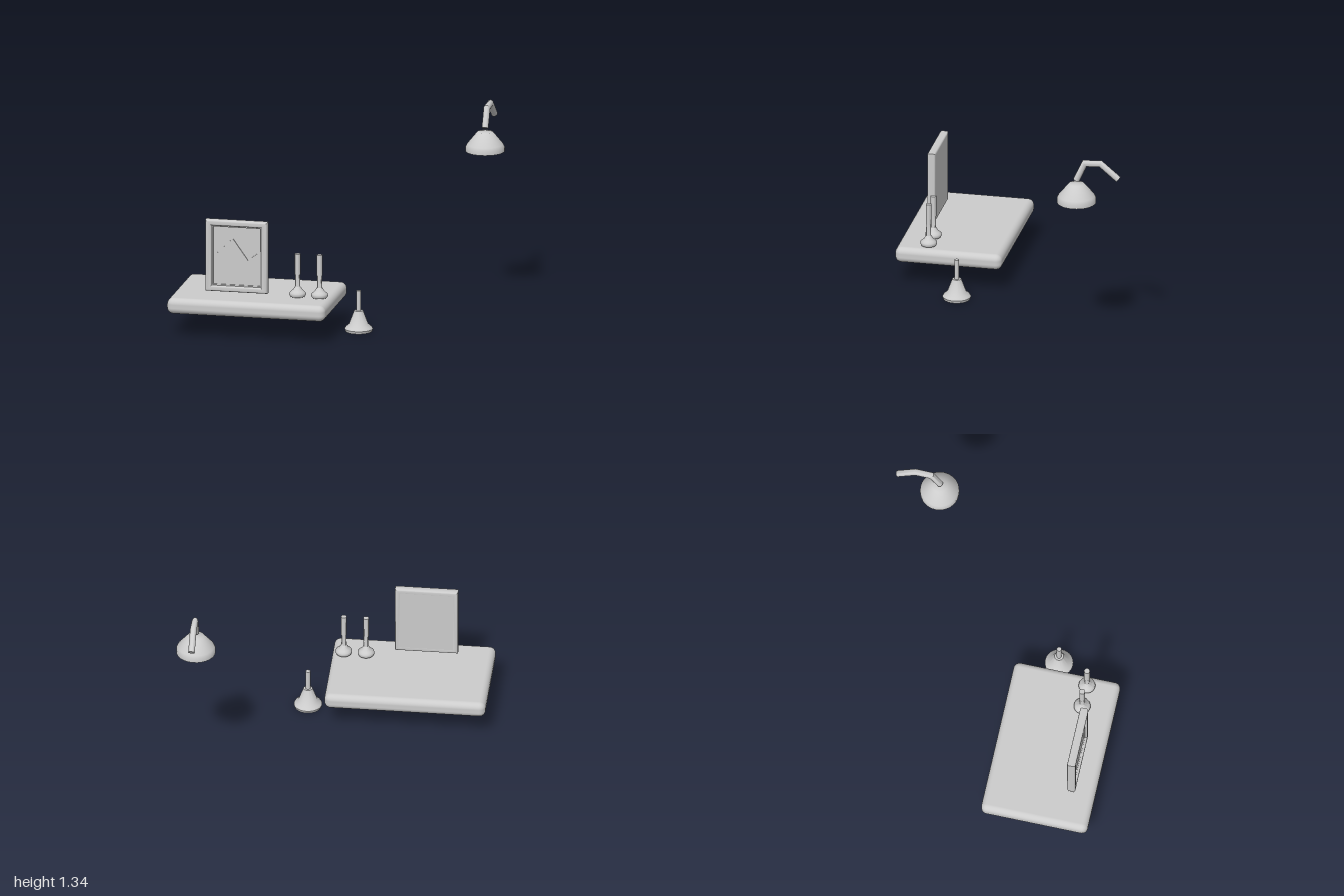
import * as THREE from 'three';
import { RoundedBoxGeometry } from 'three/addons/geometries/RoundedBoxGeometry.js';
import { toCreasedNormals } from 'three/addons/utils/BufferGeometryUtils.js';

const grey = new THREE.MeshStandardMaterial({ color: 0xcccccc });
grey.name = 'light grey';

function add(parent, name, geometry, x = 0, y = 0, z = 0) {
  const mesh = new THREE.Mesh(geometry, grey);
  mesh.name = name;
  mesh.position.set(x, y, z);
  parent.add(mesh);
  return mesh;
}

// turned part from [radius, height] pairs, bottom to top
function turned(points, crease = 0.7) {
  const profile = points.map(([r, y]) => new THREE.Vector2(r, y));
  return toCreasedNormals(new THREE.LatheGeometry(profile, 32), crease);
}

// capped round rod with mitred bends, running through [y, z] points
function bentRod(path, radius, sides = 20) {
  const pts = path.map(([y, z]) => new THREE.Vector2(z, y));
  const last = pts.length - 1;
  const pos = [], index = [];
  pts.forEach((p, i) => {
    const before = p.clone().sub(pts[Math.max(i - 1, 0)]).normalize();
    const after = pts[Math.min(i + 1, last)].clone().sub(p).normalize();
    const dir = before.clone().add(after).normalize();
    const stretch = 1 / dir.dot(i < last ? after : before);
    for (let s = 0; s < sides; s++) {
      const a = (s / sides) * Math.PI * 2;
      const off = Math.sin(a) * radius * stretch;
      pos.push(Math.cos(a) * radius, p.y + dir.x * off, p.x - dir.y * off);
      if (i < last) {
        const q = i * sides + s, n = i * sides + ((s + 1) % sides);
        index.push(q, n, q + sides, n, n + sides, q + sides);
      }
    }
  });
  // end caps
  for (let s = 1; s < sides - 1; s++) {
    const e = last * sides;
    index.push(0, s + 1, s, e, e + s, e + s + 1);
  }
  const g = new THREE.BufferGeometry();
  g.setAttribute('position', new THREE.Float32BufferAttribute(pos, 3));
  g.setIndex(index);
  return toCreasedNormals(g, 0.9);
}

function rectangle(Type, w, h) {
  return new Type([[-w, -h], [w, -h], [w, h], [-w, h]].map(([x, y]) => new THREE.Vector2(x / 2, y / 2)));
}

function createPicture() {
  const picture = new THREE.Group();
  picture.name = 'framedPicture';

  // rounded moulding
  const bevel = 0.013;
  const outline = rectangle(THREE.Shape, 0.422 - 2 * bevel, 0.49 - 2 * bevel);
  outline.holes.push(rectangle(THREE.Path, 0.336 + 2 * bevel, 0.412 + 2 * bevel));
  const moulding = new THREE.ExtrudeGeometry(outline, {
    depth: 0.056 - 2 * bevel, bevelEnabled: true, bevelSize: bevel, bevelThickness: bevel, bevelSegments: 4,
  });
  moulding.translate(0, 0, -0.028 + bevel);
  add(picture, 'frame', toCreasedNormals(moulding, 0.6));

  // inner lip, backing and mountain relief
  const lip = rectangle(THREE.Shape, 0.35, 0.425);
  lip.holes.push(rectangle(THREE.Path, 0.32, 0.395));
  add(picture, 'innerLip', new THREE.ExtrudeGeometry(lip, { depth: 0.024, bevelEnabled: false }), 0, 0, -0.012);
  add(picture, 'backing', new RoundedBoxGeometry(0.4, 0.47, 0.026, 2, 0.006), 0, 0, -0.0145);
  const mountain = new THREE.Shape([
    [-0.165, -0.203], [0.165, -0.203], [0.165, 0.042], [0.075, -0.025], [-0.028, 0.12], [-0.165, -0.015],
  ].map(([x, y]) => new THREE.Vector2(x, y)));
  add(picture, 'mountain', new THREE.ExtrudeGeometry(mountain, { depth: 0.007, bevelEnabled: false }), 0, 0, -0.002);

  picture.position.set(-0.551, 0.548, 0.696);
  return picture;
}

function createCandlestick(x) {
  const stick = new THREE.Group();
  stick.name = 'candlestick';
  add(stick, 'base', turned([
    [0, 0], [0.05, 0], [0.056, 0.012], [0.054, 0.025], [0.042, 0.036], [0.029, 0.048], [0.022, 0.062], [0.017, 0.068], [0.016, 0.155], [0, 0.155],
  ]));
  add(stick, 'candle', turned([[0, 0.15], [0.019, 0.15], [0.019, 0.292], [0, 0.292]]));
  stick.position.set(x, 0.28, 0.638);
  return stick;
}

export function createModel() {
  const model = new THREE.Group();
  model.name = 'shelfWithLamp';

  // slab with soft edges
  add(model, 'shelf', new RoundedBoxGeometry(1.08, 0.108, 0.727, 4, 0.042), -0.46, 0.215, 0.492);
  model.add(createPicture());
  for (const x of [-0.15, 0]) model.add(createCandlestick(x));

  // low stand beside the shelf
  const stand = new THREE.Group();
  stand.name = 'stand';
  add(stand, 'foot', turned([
    [0, 0], [0.09, 0], [0.095, 0.018], [0.088, 0.03], [0.064, 0.05], [0.03, 0.142], [0, 0.142],
  ]));
  add(stand, 'stem', new THREE.CylinderGeometry(0.016, 0.016, 0.15, 20), 0, 0.204, 0);
  stand.position.set(0.215, 0, 0.4);
  model.add(stand);

  // hanging lamp: shade and bent arm
  const lamp = new THREE.Group();
  lamp.name = 'lamp';
  add(lamp, 'shade', turned([
    [0, 1.035], [0.131, 1.035], [0.131, 1.065], [0.122, 1.083], [0.052, 1.168], [0, 1.168],
  ], 0.9), 0, 0, -0.558);
  add(lamp, 'arm', bentRod([[1.193, -0.556], [1.317, -0.614], [1.322, -0.722], [1.221, -0.843]], 0.022));
  lamp.position.x = 0.866;
  model.add(lamp);

  return model;
}
